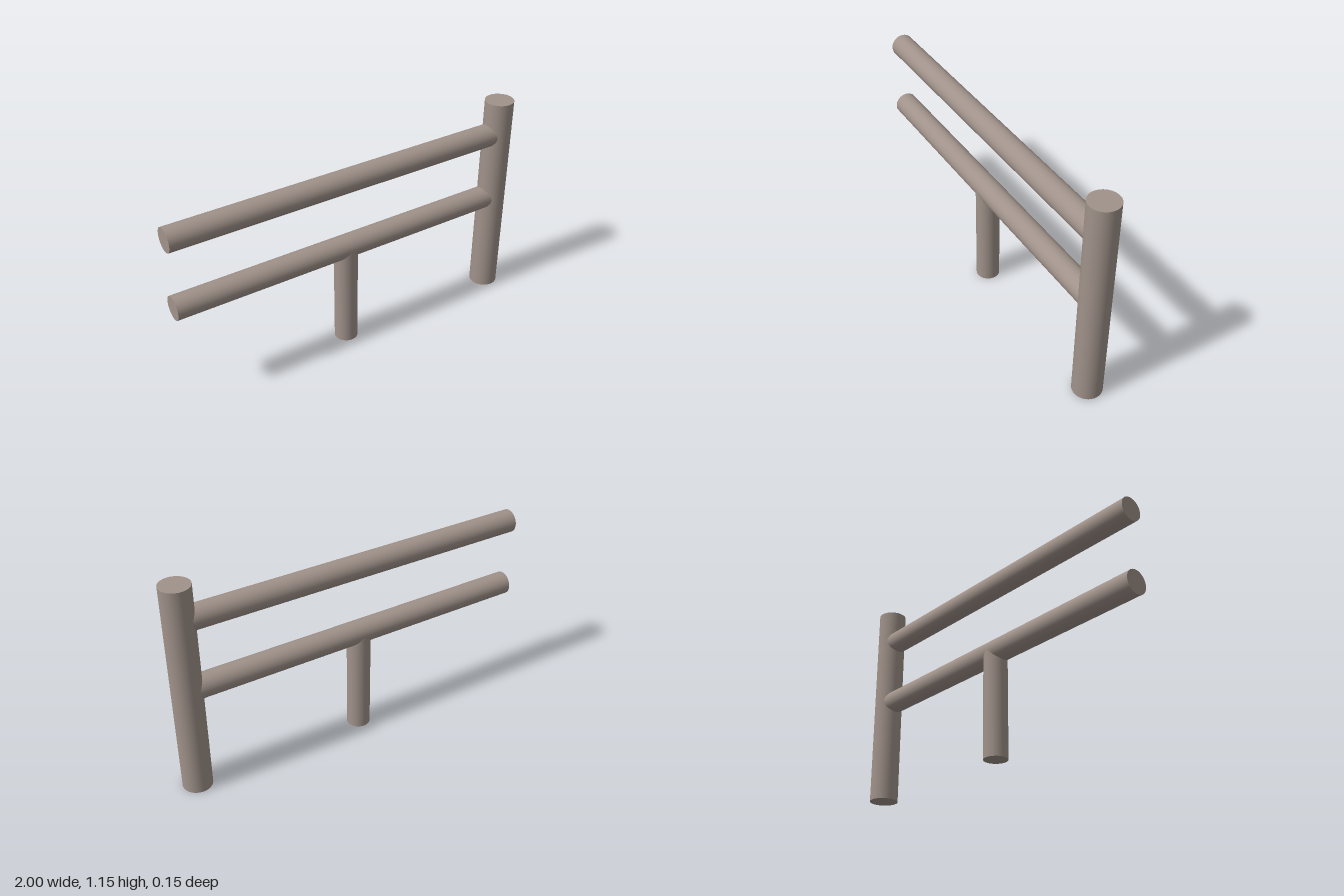
import * as THREE from 'three';

export function createModel() {
  const model = new THREE.Group();
  model.name = 'railFence';

  const wood = new THREE.MeshStandardMaterial({ color: 0xa0928a });
  wood.name = 'greyBrownWood';

  const postRadius = 0.077, poleRadius = 0.0625;
  const postX = 1 - postRadius;
  const railHeights = { lowerRail: 0.58, upperRail: 0.965 };

  // Smooth round pole, upright by default
  function pole(name, radius, length, x, y) {
    const mesh = new THREE.Mesh(new THREE.CylinderGeometry(radius, radius, length, 48), wood);
    mesh.name = name;
    mesh.position.set(x, y, 0);
    model.add(mesh);
    return mesh;
  }

  // Tall end post
  pole('endPost', postRadius, 1.155, postX, 1.155 / 2);

  // Horizontal rails running into the post
  const railLength = postX + 1;
  for (const [name, y] of Object.entries(railHeights)) {
    pole(name, poleRadius, railLength, -1 + railLength / 2, y).rotation.z = Math.PI / 2;
  }

  // Short support reaching the middle of the lower rail
  const supportHeight = railHeights.lowerRail;
  pole('middleSupport', poleRadius, supportHeight, -0.04, supportHeight / 2);

  return model;
}
